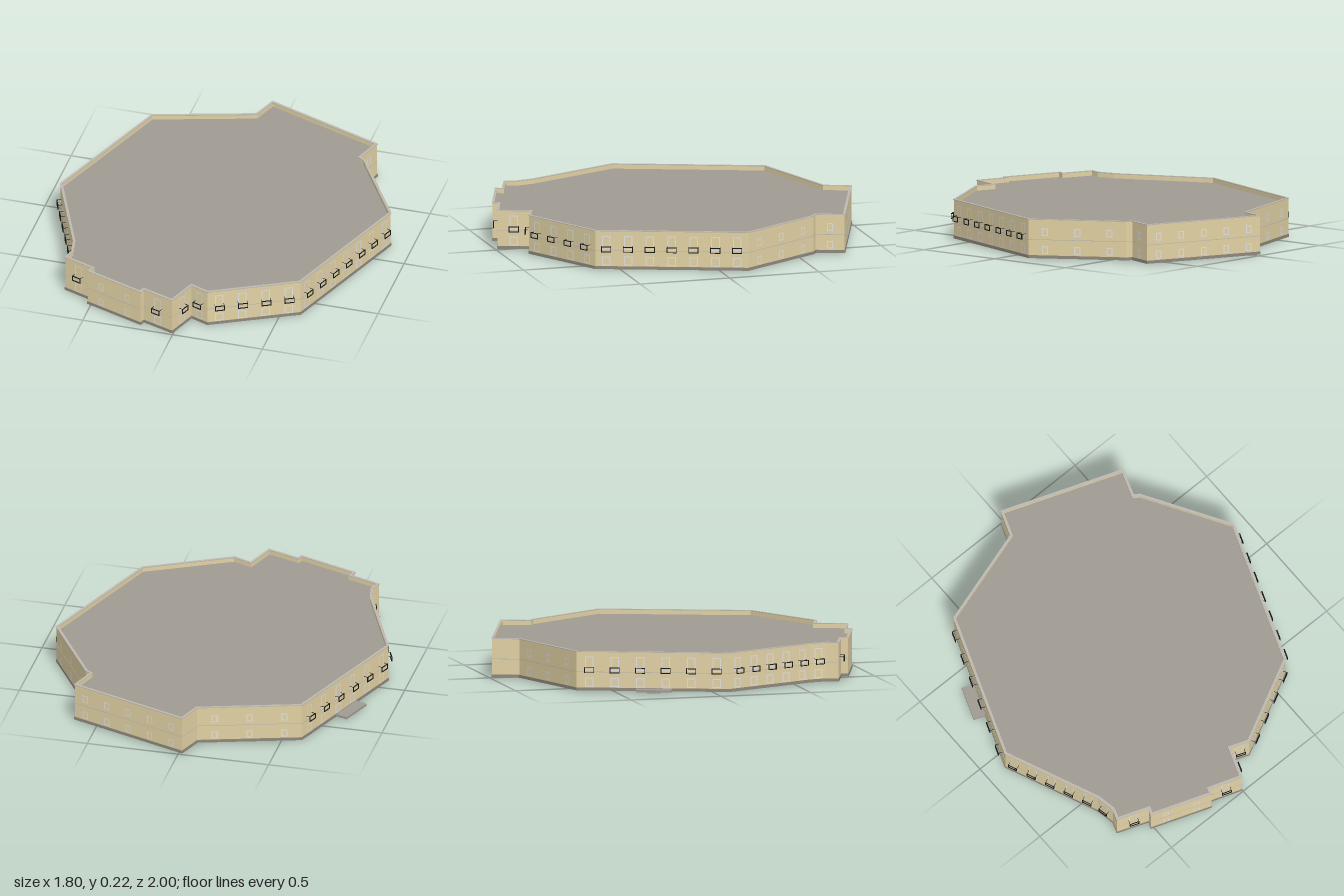
import * as THREE from 'three';

const mat = (name, color, extra = {}) => {
  const m = new THREE.MeshStandardMaterial({ color, ...extra });
  m.name = name;
  return m;
};

// Footprint corners [x, z], clockwise seen from above. Each one carries the facade
// that starts there: window count, large or small windows, balconies.
const PLAN = [
  { p: [-0.02, -0.993], n: 5 },
  { p: [0.63, -0.757], n: 1 },
  { p: [0.58, -0.61], n: 0 },
  { p: [0.61, -0.59], n: 3 },
  { p: [0.885, -0.14], n: 7, large: true, balcony: true },
  { p: [0.605, 0.63], n: 4, large: true, balcony: true },
  { p: [0.155, 0.863], n: 1, large: true, balcony: true },
  { p: [0.055, 0.825], n: 1, large: true, balcony: true },
  { p: [-0.005, 0.992], n: 1, large: true, balcony: true },
  { p: [-0.18, 0.932], n: 0 },
  { p: [-0.19, 0.962], n: 2 },
  { p: [-0.515, 0.847], n: 0 },
  { p: [-0.5, 0.812], n: 1, large: true, balcony: true },
  { p: [-0.67, 0.75], n: 0 },
  { p: [-0.65, 0.69], n: 1, large: true, balcony: true },
  { p: [-0.67, 0.59], n: 5, large: true, balcony: true },
  { p: [-0.89, 0.08], n: 6, large: true, balcony: true, entrance: true },
  { p: [-0.605, -0.69], n: 3 },
  { p: [-0.07, -0.855], n: 0 },
];
const TOP = 0.217, ROOF = 0.19, BASE = 0.005;

// Footprint moved outward by d with mitred corners
function outline(d) {
  const pts = PLAN.map((e) => new THREE.Vector2(...e.p));
  const N = pts.length;
  const normal = (a, b) => new THREE.Vector2(b.y - a.y, a.x - b.x).normalize();
  return pts.map((p, i) => {
    const n1 = normal(pts[(i + N - 1) % N], p);
    const n2 = normal(p, pts[(i + 1) % N]);
    const m = n1.clone().add(n2);
    const q = p.clone().addScaledVector(m, (2 * d) / m.lengthSq());
    return new THREE.Vector2(q.x, -q.y);
  });
}

// Ring that follows the footprint between two offsets and two heights
function ring(name, outer, inner, y0, y1, material) {
  const shape = new THREE.Shape(outline(outer));
  shape.holes.push(new THREE.Path(outline(inner).reverse()));
  const geo = new THREE.ExtrudeGeometry(shape, { depth: y1 - y0, bevelEnabled: false });
  geo.rotateX(-Math.PI / 2).translate(0, y0, 0);
  const mesh = new THREE.Mesh(geo, material);
  mesh.name = name;
  return mesh;
}

function box(name, w, h, d, x, y, z, material) {
  const mesh = new THREE.Mesh(new THREE.BoxGeometry(w, h, d), material);
  mesh.name = name;
  mesh.position.set(x, y, z);
  return mesh;
}

const rectangle = (w, h) => [[-w, -h], [w, -h], [w, h], [-w, h]]
  .map(([x, y]) => new THREE.Vector2(x / 2, y / 2));

export function createModel() {
  const wallMat = mat('sand wall', 0xe2d2a4, { side: THREE.DoubleSide });
  const roofMat = mat('grey roof', 0x9f9a92, { side: THREE.DoubleSide });
  const copingMat = mat('pale coping', 0xbdb9b0);
  const plinthMat = mat('stone plinth', 0x8f887b);
  const frameMat = mat('light frame', 0xe2e2e2);
  const glassMat = mat('blue glass', 0x4a6480);
  const railMat = mat('black railing', 0x161616);

  const model = new THREE.Group();
  model.name = 'building';

  // Walls with parapet, plinth, floor band and coping
  model.add(
    ring('walls', 0, -0.008, BASE, TOP - 0.004, wallMat),
    ring('plinth', 0.003, 0, BASE, 0.021, plinthMat),
    ring('floorBand', 0.0015, 0, 0.104, 0.107, copingMat),
    ring('coping', 0.004, -0.01, TOP - 0.004, TOP, copingMat),
  );

  // Flat roof
  const roofGeo = new THREE.ShapeGeometry(new THREE.Shape(outline(-0.006)));
  roofGeo.rotateX(-Math.PI / 2).translate(0, ROOF, 0);
  const roof = new THREE.Mesh(roofGeo, roofMat);
  roof.name = 'roof';
  model.add(roof);

  // Window: flat frame outside, glass on the inner face
  function windowUnit(x, y, w, h) {
    const g = new THREE.Group();
    g.name = 'window';
    const shape = new THREE.Shape(rectangle(w, h));
    shape.holes.push(new THREE.Path(rectangle(w - 0.011, h - 0.011).reverse()));
    const frame = new THREE.Mesh(new THREE.ShapeGeometry(shape), frameMat);
    frame.name = 'frame';
    frame.position.z = 0.002;
    g.add(frame, box('glass', w, h, 0.004, 0, 0, -0.008, glassMat));
    g.position.set(x, y, 0);
    return g;
  }

  // Balcony railing: open front frame tied back to the wall
  function railing(x) {
    const g = new THREE.Group();
    g.name = 'balconyRailing';
    const w = 0.054, z = 0.024, t = 0.004;
    for (const y of [0.104, 0.131]) g.add(box('rail', w, t, t, 0, y, z, railMat));
    for (const s of [-1, 1]) {
      g.add(box('post', t, 0.03, t, (s * (w - t)) / 2, 0.1175, z, railMat));
      g.add(box('sideRail', 0.002, 0.002, z, (s * (w - t)) / 2, 0.131, z / 2, railMat));
    }
    g.position.x = x;
    return g;
  }

  // Facades: local +z points outward
  PLAN.forEach((f, i) => {
    const a = f.p, b = PLAN[(i + 1) % PLAN.length].p;
    const dx = b[0] - a[0], dz = b[1] - a[1];
    const len = Math.hypot(dx, dz);
    const facade = new THREE.Group();
    facade.name = 'facade' + (i + 1);
    facade.position.set((a[0] + b[0]) / 2, 0, (a[1] + b[1]) / 2);
    facade.rotation.y = Math.atan2(dz, -dx);
    for (let k = 0; k < f.n; k++) {
      const x = (0.5 - (k + 0.5) / f.n) * len;
      if (f.large) {
        facade.add(windowUnit(x, 0.15, 0.046, 0.076), windowUnit(x, 0.05, 0.046, 0.05));
      } else {
        facade.add(windowUnit(x, 0.147, 0.033, 0.042), windowUnit(x, 0.05, 0.033, 0.042));
      }
      if (f.balcony) facade.add(railing(x));
    }
    // Entrance platform on a smaller footing
    if (f.entrance) {
      facade.add(
        box('entrancePlatform', 0.19, 0.012, 0.07, 0.007, 0.014, 0.035, roofMat),
        box('entranceFooting', 0.07, 0.008, 0.05, 0.007, 0.004, 0.03, roofMat),
      );
    }
    model.add(facade);
  });

  return model;
}
